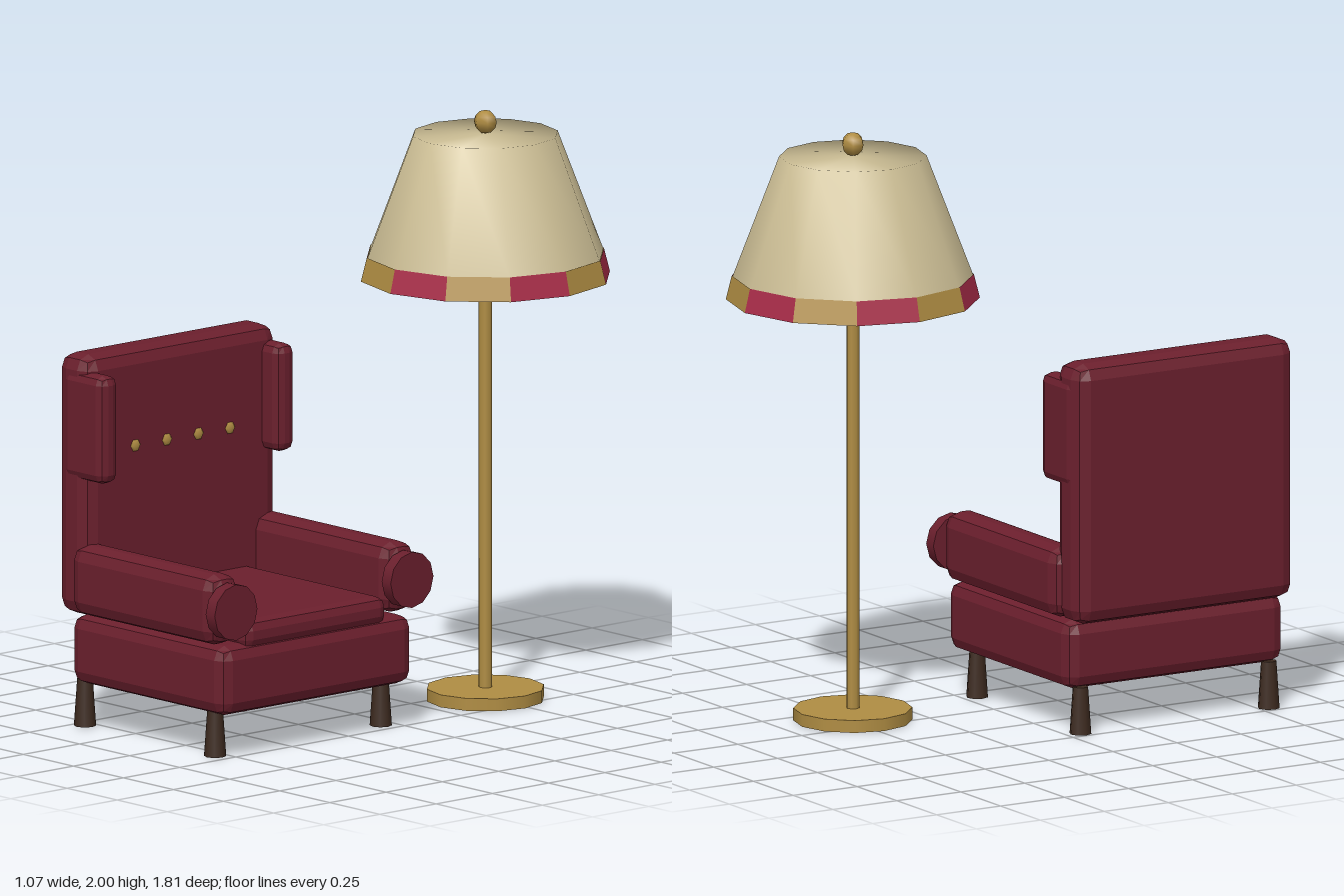
import * as THREE from 'three';
import { mergeVertices } from 'three/addons/utils/BufferGeometryUtils.js';
import { RoundedBoxGeometry } from 'three/addons/geometries/RoundedBoxGeometry.js';

function material(name, color, side = THREE.FrontSide) {
  const m = new THREE.MeshStandardMaterial({ color, side });
  m.name = name;
  return m;
}

export function createModel() {
  const upholstery = material('burgundy upholstery', 0x6b1f2d);
  const wood = material('dark wood', 0x3d2a1f);
  const brass = material('brass', 0xb08d43);
  const linen = material('cream linen', 0xcbbd94);
  const trimRed = material('crimson trim', 0xa82c48, THREE.DoubleSide);
  const trimGold = material('gold trim', 0xb08d43, THREE.DoubleSide);

  const model = new THREE.Group();
  model.name = 'armchairAndLamp';

  function add(parent, name, geometry, mat, x, y, z) {
    const mesh = new THREE.Mesh(geometry, mat);
    mesh.name = name;
    mesh.position.set(x, y, z);
    parent.add(mesh);
    return mesh;
  }

  // Padded block given by its min and max corners, with faceted bevels
  function padded(parent, name, min, max, radius) {
    const s = max.map((v, i) => v - min[i]);
    const c = max.map((v, i) => (v + min[i]) / 2);
    const g = new RoundedBoxGeometry(s[0], s[1], s[2], 1, radius);
    g.computeVertexNormals();
    return add(parent, name, g, upholstery, ...c);
  }

  // ---- Armchair, facing +x, local z = 0 on its centre line ----
  const chair = new THREE.Group();
  chair.name = 'armchair';
  chair.position.z = 0.421;
  model.add(chair);

  padded(chair, 'seatBase', [-0.475, 0.15, -0.426], [0.295, 0.385, 0.426], 0.045);
  padded(chair, 'seatCushion', [-0.42, 0.36, -0.318], [0.285, 0.46, 0.318], 0.035);
  padded(chair, 'backrest', [-0.54, 0.38, -0.426], [-0.385, 1.265, 0.426], 0.05);

  for (const s of [-1, 1]) {
    const side = s < 0 ? 'left' : 'right';
    // Arm with its round front pad
    const zArm = s * 0.391;
    padded(chair, side + 'Arm', [-0.445, 0.39, zArm - 0.066], [0.278, 0.628, zArm + 0.066], 0.05);
    const pad = new THREE.CylinderGeometry(0.095, 0.095, 0.045, 12).rotateZ(-Math.PI / 2);
    add(chair, side + 'ArmPad', pad, upholstery, 0.298, 0.51, zArm);
    // Wing beside the headrest
    const zWing = s * 0.392;
    padded(chair, side + 'Wing', [-0.505, 0.845, zWing - 0.04], [-0.305, 1.21, zWing + 0.04], 0.03);
    // Legs
    for (const x of [-0.46, 0.19]) {
      add(chair, side + (x < 0 ? 'BackLeg' : 'FrontLeg'),
        new THREE.CylinderGeometry(0.026, 0.037, 0.16, 8), wood, x, 0.08, s * 0.368);
    }
  }

  // Row of buttons on the backrest
  for (let i = 0; i < 4; i++) {
    const g = new THREE.SphereGeometry(0.022, 6, 4).rotateZ(Math.PI / 2).rotateX(Math.PI / 2);
    g.scale(0.4, 1, 1);
    add(chair, 'backButton', g, brass, -0.385, 0.94, -0.21 + i * 0.14);
  }

  // ---- Floor lamp ----
  const lamp = new THREE.Group();
  lamp.name = 'floorLamp';
  lamp.position.set(0.111, 0, -0.482);
  model.add(lamp);

  add(lamp, 'lampBase', new THREE.CylinderGeometry(0.198, 0.198, 0.042, 12), brass, 0, 0.021, 0);
  add(lamp, 'lampPole', new THREE.CylinderGeometry(0.022, 0.022, 1.5, 8), brass, 0, 0.77, 0);

  // Shade wall and closed top share softly blended normals
  const wall = new THREE.LatheGeometry([
    new THREE.Vector2(0.4, 1.512),
    new THREE.Vector2(0.245, 1.92),
    new THREE.Vector2(0, 1.92),
  ], 12);
  wall.deleteAttribute('uv');
  wall.deleteAttribute('normal');
  const shade = mergeVertices(wall, 1e-4);
  shade.computeVertexNormals();
  add(lamp, 'lampShade', shade, linen, 0, 0, 0);
  add(lamp, 'shadeUnderside', new THREE.CircleGeometry(0.4, 12).rotateX(Math.PI / 2), linen, 0, 1.514, 0);

  // Trim band in twelve alternating panels
  const step = Math.PI / 6;
  for (let i = 0; i < 12; i++) {
    const panel = new THREE.CylinderGeometry(0.402, 0.422, 0.08, 1, 1, true, i * step, step);
    panel.computeVertexNormals();
    add(lamp, 'trimPanel', panel, i % 2 ? trimGold : trimRed, 0, 1.475, 0);
  }

  add(lamp, 'finial', new THREE.SphereGeometry(0.04, 6, 6).rotateY(Math.PI / 2), brass, 0, 1.96, 0);

  return model;
}
